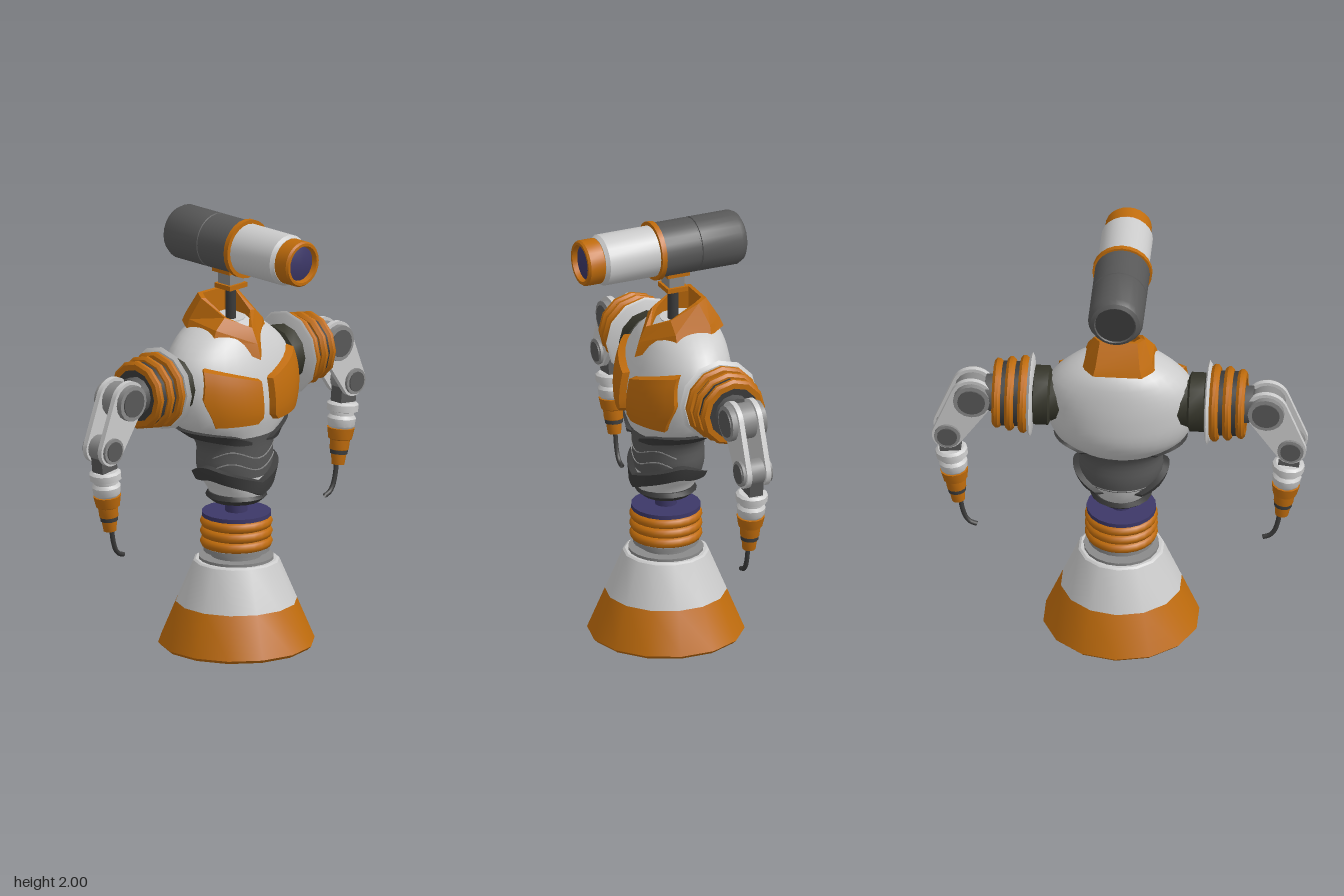
import * as THREE from 'three';
import { mergeVertices, toCreasedNormals } from 'three/addons/utils/BufferGeometryUtils.js';

const mat = (color) => new THREE.MeshStandardMaterial({ color, side: THREE.DoubleSide });
const GREY = mat(0xcccccc), STEEL = mat(0x8a8a8a), DARK = mat(0x585858), BLACK = mat(0x3b3b3b);
const ORANGE = mat(0xc06c0c), PURPLE = mat(0x3d3868), OLIVE = mat(0x36362b);

function add(parent, name, geometry, material, x = 0, y = 0, z = 0) {
  const mesh = new THREE.Mesh(geometry, material);
  mesh.name = name;
  mesh.position.set(x, y, z);
  parent.add(mesh);
  return mesh;
}

// Turned part from [radius, height] pairs
function lathe(profile, segments = 24, crease = 0.55) {
  const pts = profile.map(([r, h]) => new THREE.Vector2(r, h));
  return toCreasedNormals(new THREE.LatheGeometry(pts, segments), crease);
}

const disc = (r, y0, y1, segments) => lathe([[0, y0], [r, y0], [r, y1], [0, y1]], segments);

// Surface from a rule f(u, v) sampled at the given parameter lists
function surface(f, us, vs, crease = 0.6) {
  const pos = [], index = [], n = us.length;
  for (const v of vs) for (const u of us) pos.push(...f(u, v));
  for (let j = 0; j < vs.length - 1; j++) {
    for (let i = 0; i < n - 1; i++) {
      const a = j * n + i, b = a + n;
      index.push(a, a + 1, b + 1, a, b + 1, b);
    }
  }
  let geo = new THREE.BufferGeometry();
  geo.setAttribute('position', new THREE.Float32BufferAttribute(pos, 3));
  geo.setIndex(index);
  geo = mergeVertices(geo, 1e-5);
  return toCreasedNormals(geo, crease);
}

const steps = (n) => Array.from({ length: n + 1 }, (_, i) => i / n);
const bevelled = (n, b) => [0, ...steps(n).map((t) => b + t * (1 - 2 * b)), 1];
const atEdge = (t) => t === 0 || t === 1;

// Torso sections: height, half width, front z, back z
const SECTIONS = [
  [0.69, 0.11, 0.09, -0.14], [0.74, 0.13, 0.11, -0.17], [0.8, 0.17, 0.11, -0.19],
  [0.86, 0.19, 0.115, -0.2], [0.95, 0.19, 0.12, -0.2], [1.0, 0.22, 0.125, -0.22],
  [1.05, 0.285, 0.14, -0.265], [1.12, 0.32, 0.155, -0.3], [1.25, 0.34, 0.145, -0.31],
  [1.36, 0.32, 0.11, -0.3], [1.43, 0.26, 0.075, -0.285], [1.48, 0.19, 0.04, -0.26],
  [1.52, 0.1, -0.02, -0.2],
];
const spline = new THREE.CubicInterpolant(
  SECTIONS.map((s) => s[0]), SECTIONS.flatMap((s) => s.slice(1)), 3);

// Point on the torso; angle 0 faces front, off lifts it from the skin
function skin(angle, y, off = 0) {
  const [w, zf, zb] = spline.evaluate(THREE.MathUtils.clamp(y, 0.69, 1.52));
  return [(w + off) * Math.sin(angle), y, (zf + zb) / 2 + ((zf - zb) / 2 + off) * Math.cos(angle)];
}

// Raised strip around the torso between two angles
function band(a0, a1, mid, half, off, n = 24) {
  const f = (u, v) => {
    const a = a0 + (a1 - a0) * u;
    return skin(a, mid(a) + half(u) * (2 * v - 1), atEdge(u) || atEdge(v) ? -0.006 : off);
  };
  return surface(f, steps(n), bevelled(2, 0.1));
}

function makeBase(root) {
  const base = new THREE.Group();
  base.name = 'base';
  base.position.z = -0.03;
  root.add(base);
  add(base, 'baseSkirt', lathe([[0.255, 0.05], [0.31, 0], [0.34, 0], [0.355, 0.015], [0.275, 0.205]], 14), ORANGE);
  add(base, 'baseCone', lathe([[0.275, 0.205], [0.195, 0.395], [0.185, 0.402], [0, 0.402]], 14), GREY);
  add(base, 'baseInside', lathe([[0, 0.38], [0.17, 0.38], [0.255, 0.05]], 14), STEEL);
  add(base, 'baseCollar', lathe([[0.17, 0.4], [0.17, 0.415], [0.115, 0.415], [0.115, 0.44],
    [0.15, 0.44], [0.15, 0.46], [0, 0.46]], 20), STEEL);
  // Stacked bellows
  add(base, 'bellowsCore', disc(0.135, 0.45, 0.605, 20), BLACK);
  for (let i = 0; i < 3; i++) {
    const ring = add(base, 'bellowsRing', new THREE.TorusGeometry(0.141, 0.024, 8, 24), ORANGE, 0, 0.482 + i * 0.047, 0);
    ring.rotation.x = Math.PI / 2;
  }
  add(base, 'swivelPlate', disc(0.157, 0.603, 0.622, 20), PURPLE);
  add(base, 'waistPost', disc(0.05, 0.62, 0.69, 16), PURPLE);
  add(base, 'pelvisRing', lathe([[0, 0.675], [0.11, 0.675], [0.14, 0.7], [0.13, 0.72], [0.1, 0.72]], 18), BLACK);
}

function makeTorso(root) {
  const torso = new THREE.Group();
  torso.name = 'torso';
  root.add(torso);
  const shell = (y0, y1, rows) => surface(
    (u, v) => skin((u * 2 - 1) * Math.PI, y0 + (y1 - y0) * v), steps(32), steps(rows), 1);
  add(torso, 'pelvis', shell(0.69, 0.81, 5), GREY);
  add(torso, 'abdomen', shell(0.8, 1.01, 7), DARK);
  add(torso, 'chest', shell(1.0, 1.52, 16), GREY);
  add(torso, 'chestTop', disc(0.1, 1.5, 1.52, 20), GREY, 0, 0, -0.11);

  // Hip belt, dipping to a point in front
  const taper = (h) => (u) => h * Math.min(1, 0.1 + 5 * u, 0.1 + 5 * (1 - u));
  add(torso, 'hipBelt', band(-2.7, 2.7, (a) => 0.757 + 0.08 * Math.min(1, Math.abs(a) / 1.3)
    - 0.05 * Math.max(0, Math.abs(a) - 1.5), taper(0.038), 0.028, 36), BLACK);
  // Fine abdomen seams
  for (const y of [0.865, 0.92]) {
    add(torso, 'abdomenSeam', band(-1.4, 1.4, (a) => y + 0.02 * Math.cos(a * 4 + Math.PI), () => 0.003, 0.003), STEEL);
  }
  for (const s of [1, -1]) {
    // Rib wings sweeping from the belly round to the back
    const [a0, a1] = s > 0 ? [0.2, 2.5] : [-2.5, -0.2];
    add(torso, 'ribWing', band(a0, a1, (a) => 0.965 + 0.06 * Math.sin(Math.min(Math.abs(a), 2.3) * 0.95),
      taper(0.028), 0.02), BLACK);
    // Chest pads
    const pad = (u, v) => {
      const t = s > 0 ? u : 1 - u;
      const inner = 0.025 + 0.035 * Math.max(0, 1 - v * 6);
      const outer = 0.235 + 0.055 * Math.min(1, v * 2.2) - 0.02 * Math.max(0, v - 0.5) * 2;
      const x = inner + (outer - inner) * t;
      const y = 1.075 + (0.205 + 0.08 * t) * v;
      const w = spline.evaluate(y)[0];
      return skin(s * Math.asin(Math.min(1, x / w)), y, atEdge(u) || atEdge(v) ? -0.005 : 0.03);
    };
    add(torso, 'chestPad', surface(pad, bevelled(8, 0.035), bevelled(8, 0.035)), ORANGE);
  }

  // Faceted collar with a raised back, as half outlines from front to back
  const foot = [[0, 1.36, 0.125], [0.165, 1.46, -0.01], [0.165, 1.475, -0.18], [0.11, 1.49, -0.265]];
  const fold = [[0, 1.43, 0.105], [0.15, 1.5, -0.01], [0.15, 1.52, -0.18], [0.1, 1.53, -0.25]];
  const rim = [[0, 1.5, 0.07], [0.095, 1.55, -0.01], [0.115, 1.62, -0.14], [0.085, 1.63, -0.19]];
  const inside = rim.map(([x, y, z]) => [x * 0.82, y - 0.002, -0.08 + (z + 0.08) * 0.85]);
  const deep = inside.map(([x, y, z]) => [x, 1.44, z]);
  const loops = [foot, fold, rim, inside, deep].map((half) => {
    const right = half.slice(1).map(([x, y, z]) => [-x, y, z]).reverse();
    return [...right, ...half, right[0]];
  });
  const ids = (n) => Array.from({ length: n }, (_, i) => i);
  add(torso, 'collar', surface((u, v) => loops[v][u], ids(8), ids(5), 0.2), ORANGE);
}

function makeHead(root) {
  // Neck post and bracket
  const neck = new THREE.Group();
  neck.name = 'neck';
  neck.position.z = -0.065;
  root.add(neck);
  add(neck, 'neckPost', disc(0.025, 1.48, 1.68, 12), BLACK);
  add(neck, 'neckFlange', new THREE.BoxGeometry(0.11, 0.022, 0.1), ORANGE, 0, 1.675, 0);
  add(neck, 'neckBlock', new THREE.BoxGeometry(0.085, 0.07, 0.075), STEEL, 0, 1.715, 0);
  add(neck, 'neckSaddle', new THREE.BoxGeometry(0.13, 0.03, 0.11), ORANGE, 0, 1.757, 0);

  // Tubular head along z
  const head = new THREE.Group();
  head.name = 'head';
  head.position.y = 1.865;
  head.rotation.x = Math.PI / 2;
  root.add(head);
  add(head, 'rearHousing', lathe([[0, -0.38], [0.09, -0.38], [0.095, -0.39], [0.112, -0.38], [0.125, -0.355],
    [0.125, -0.16], [0.121, -0.158], [0.121, -0.152], [0.125, -0.15], [0.125, 0.03]]), DARK);
  add(head, 'rearCap', disc(0.09, -0.385, -0.375), BLACK);
  add(head, 'headBand', lathe([[0.12, 0.022], [0.135, 0.022], [0.135, 0.046], [0.115, 0.046]]), ORANGE);
  add(head, 'frontHousing', lathe([[0.117, 0.04], [0.117, 0.295], [0.105, 0.312], [0.09, 0.312]]), GREY);
  add(head, 'lensHood', lathe([[0.095, 0.305], [0.105, 0.315], [0.105, 0.385], [0.098, 0.395],
    [0.085, 0.395], [0.078, 0.37]]), ORANGE);
  add(head, 'lens', lathe([[0.08, 0.372], [0.05, 0.382], [0, 0.386]]), PURPLE);
}

function makeArm(root, s) {
  const arm = new THREE.Group();
  arm.name = s > 0 ? 'leftArm' : 'rightArm';
  arm.position.z = -0.108;
  root.add(arm);

  // Shoulder stack turned about the x axis
  const shoulder = new THREE.Group();
  shoulder.name = 'shoulder';
  shoulder.position.y = 1.265;
  shoulder.rotation.z = -s * Math.PI / 2;
  arm.add(shoulder);
  add(shoulder, 'shoulderJoint', lathe([[0, 0.25], [0.115, 0.25], [0.115, 0.31], [0.135, 0.32], [0.135, 0.385], [0, 0.4]], 12), OLIVE);
  add(shoulder, 'shoulderPlate', lathe([[0, 0.393], [0.18, 0.393], [0.192, 0.4], [0.175, 0.412], [0, 0.412]], 12), GREY);
  add(shoulder, 'shoulderCore', disc(0.147, 0.41, 0.555, 12), BLACK);
  [[0.412, 0.176], [0.472, 0.168], [0.53, 0.158]].forEach(([h, r]) => add(shoulder, 'shoulderRing', lathe(
    [[0.14, h], [r - 0.012, h], [r, h + 0.014], [r, h + 0.028], [r - 0.012, h + 0.04], [0.12, h + 0.04]], 12), ORANGE));
  add(shoulder, 'shoulderHub', disc(0.085, 0.54, 0.605, 12), DARK);

  // Twin link plates between shoulder pivot and elbow
  const A = [s * 0.665, 1.265, 0.097], B = [s * 0.775, 1.06, 0.07];
  const dx = B[0] - A[0], dy = B[1] - A[1];
  const dir = Math.atan2(dy, dx), open = Math.acos((A[2] - B[2]) / Math.hypot(dx, dy));
  const outline = new THREE.Shape();
  outline.absarc(A[0], A[1], A[2], dir + open, dir - open + Math.PI * 2, false);
  outline.absarc(B[0], B[1], B[2], dir - open, dir + open, false);
  const plate = toCreasedNormals(new THREE.ExtrudeGeometry(outline, { depth: 0.024, bevelEnabled: false, curveSegments: 10 }), 0.6);
  for (const z of [0.035, -0.059]) add(arm, 'linkPlate', plate, GREY, 0, 0, z);
  const pivot = ([x, y, r], half) => {
    add(arm, 'pivotRim', disc(r * 0.85, -half, half, 16), STEEL, x, y, 0).rotation.x = Math.PI / 2;
    add(arm, 'pivotCap', disc(r * 0.65, -half - 0.006, half + 0.006, 16), DARK, x, y, 0).rotation.x = Math.PI / 2;
  };
  pivot(A, 0.085);
  pivot(B, 0.072);
  add(arm, 'shoulderLug', new THREE.BoxGeometry(0.1, 0.12, 0.07), DARK, s * 0.635, 1.265, 0);

  // Forearm hanging from the elbow
  const forearm = new THREE.Group();
  forearm.name = 'forearm';
  forearm.position.set(B[0], B[1], 0);
  forearm.rotation.z = -s * 0.115;
  arm.add(forearm);
  add(forearm, 'forearmLink', new THREE.BoxGeometry(0.095, 0.16, 0.066), DARK, 0, -0.06, 0);
  add(forearm, 'wristCuff', lathe([[0, -0.225], [0.055, -0.225], [0.062, -0.215], [0.066, -0.18], [0.055, -0.165],
    [0.055, -0.15], [0.073, -0.145], [0.073, -0.115], [0.06, -0.105], [0, -0.105]], 12), GREY);
  add(forearm, 'handCone', lathe([[0, -0.395], [0.03, -0.395], [0.036, -0.345], [0.036, -0.33], [0.044, -0.325],
    [0.047, -0.28], [0.055, -0.275], [0.064, -0.225], [0, -0.215]], 12), ORANGE);
  add(forearm, 'handRing', disc(0.041, -0.345, -0.325, 12), BLACK);

  // Bent wire fingertip
  const wire = new THREE.CatmullRomCurve3([[0.722, 0.69], [0.712, 0.62], [0.695, 0.57], [0.675, 0.547], [0.645, 0.536]]
    .map(([x, y]) => new THREE.Vector3(s * x, y, 0)));
  add(arm, 'wireTip', new THREE.TubeGeometry(wire, 12, 0.011, 8), BLACK);
}

export function createModel() {
  const root = new THREE.Group();
  root.name = 'robot';
  makeBase(root);
  makeTorso(root);
  makeHead(root);
  for (const s of [1, -1]) makeArm(root, s);
  return root;
}
